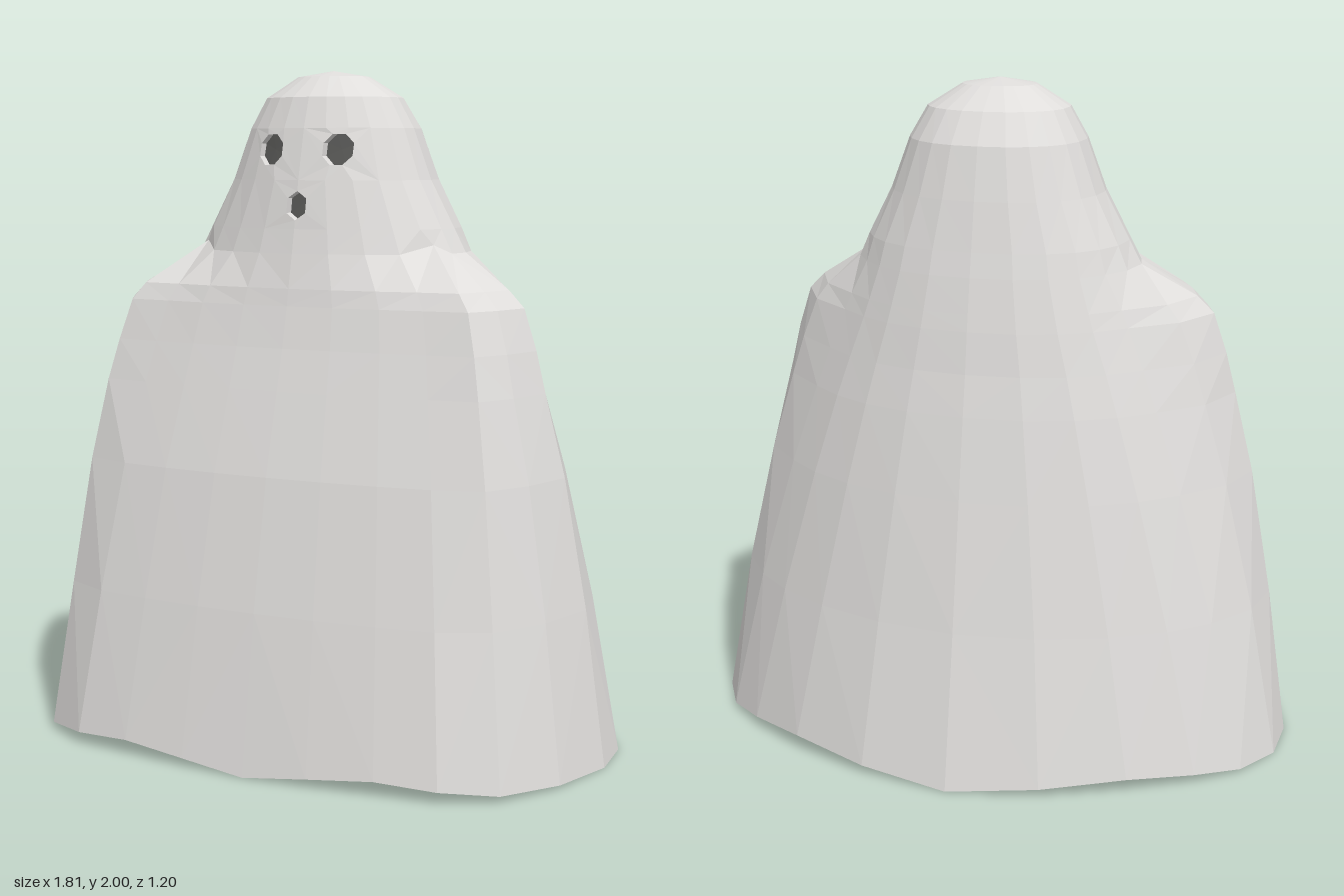
import * as THREE from 'three';

const COLS = 24, HALF = 12, THICK = 0.055, NECK = 7;
// Hem outline of one half, from front centre round to back centre: x, z, lift
const HEM = [
  [0, 0.6, 0], [0.2, 0.595, 0.025], [0.4, 0.58, 0.045], [0.58, 0.555, 0.035],
  [0.73, 0.47, 0.02], [0.84, 0.29, 0.01], [0.9, 0.07, 0], [0.89, -0.1, 0],
  [0.81, -0.25, 0.01], [0.69, -0.36, 0.03], [0.51, -0.47, 0.045], [0.27, -0.56, 0.025], [0, -0.6, 0],
];
// Rings: height, half width, half width behind the shoulders, front depth, back depth, roundness
const RINGS = [
  [0, 0.903, 0.903, 0.6, 0.6, 0],
  [0.46, 0.838, 0.785, 0.522, 0.51, 0],
  [0.84, 0.77, 0.66, 0.443, 0.44, 0],
  [1.08, 0.71, 0.57, 0.375, 0.395, 0],
  [1.2, 0.68, 0.52, 0.34, 0.37, 0],
  [1.32, 0.64, 0.465, 0.31, 0.35, 0.05],
  [1.37, 0.59, 0.445, 0.3, 0.34, 0.2],
  [1.47, 0.43, 0.405, 0.277, 0.32, 1],
  [1.54, 0.393, 0.385, 0.262, 0.304, 1],
  [1.68, 0.318, 0.318, 0.235, 0.274, 1],
  [1.83, 0.262, 0.262, 0.198, 0.238, 1],
  [1.92, 0.21, 0.21, 0.165, 0.18, 1],
  [1.982, 0.11, 0.11, 0.09, 0.09, 1],
];
// Holes: the ring and columns of the cell they are cut from, centre, radii, sides
const HOLES = [
  { name: 'leftEye', ring: 9, from: 0, to: 3, x: 0.108, y: 1.768, rx: 0.046, ry: 0.048, sides: 8 },
  { name: 'rightEye', ring: 9, from: -3, to: 0, x: -0.108, y: 1.768, rx: 0.046, ry: 0.048, sides: 8 },
  { name: 'mouth', ring: 8, from: -1, to: 1, x: 0, y: 1.607, rx: 0.035, ry: 0.042, sides: 6 },
];
const lerp = THREE.MathUtils.lerp;

// Point of the sheet on ring i, column j, moved in by the given thickness
function sheetPoint(i, j, inset = 0) {
  j = (j + COLS) % COLS;
  const k = j <= HALF ? j : COLS - j, side = j <= HALF ? 1 : -1;
  const [y, w, wBack, front, back, ringRound] = RINGS[i];
  const [hx, hz, lift] = HEM[k], a = (k * Math.PI) / HALF;
  const behind = THREE.MathUtils.smoothstep(k, 5.8, 8.6);
  const round = Math.max(ringRound, behind * Math.min(1, y / 1.47));
  const power = k > 6 ? 0.88 : 1; // the back is a little squarer than an ellipse
  const c = Math.cos(a);
  const nx = lerp(hx / 0.9, Math.pow(Math.abs(Math.sin(a)), power), round);
  const nz = lerp(hz / 0.6, Math.sign(c) * Math.pow(Math.abs(c), power), round);
  const p = new THREE.Vector3(
    nx * (lerp(w, wBack, behind) - inset),
    y + (i === 0 ? lift : 0) - (i > 10 ? inset : 0),
    nz * ((nz > 0 ? front : back) - inset));
  // Arms push the cloth forward below the neck
  if (i < NECK && k >= 4 && k <= 6) {
    const push = Math.min(1, y / 1.08) ** 2;
    p.z += 0.035 * push;
    if (k === 4) p.x += 0.025 * push;
  }
  // Fold where the shoulder meets the neck
  if (i === NECK && k === 4) p.add(new THREE.Vector3(0, 0.025, -0.03));
  p.x *= side;
  return p;
}

// Depth of the face surface at x, y above ring i
function faceZ(i, x, y) {
  const a = RINGS[i], b = RINGS[i + 1], t = (y - a[0]) / (b[0] - a[0]);
  return lerp(a[3], b[3], t) * Math.sqrt(1 - (x / lerp(a[1], b[1], t)) ** 2);
}

function facets(points) {
  const g = new THREE.BufferGeometry().setFromPoints(points);
  g.computeVertexNormals();
  return g;
}

// Two triangles split along the shorter diagonal
function quad(out, a, b, c, d) {
  if (a.distanceTo(c) < b.distanceTo(d)) out.push(a, b, c, a, c, d);
  else out.push(a, b, d, b, c, d);
}

// One layer of cloth; the outer one leaves out the cells with holes
function shell(inset, inward) {
  const out = [], top = RINGS.length - 1;
  const apex = new THREE.Vector3(0, 2 - inset, 0);
  for (let j = -HALF; j < HALF; j++) {
    for (let i = 0; i < top; i++) {
      if (!inward && HOLES.some((h) => h.ring === i && j >= h.from && j < h.to)) continue;
      const p = [[i, j], [i, j + 1], [i + 1, j + 1], [i + 1, j]].map(([r, c]) => sheetPoint(r, c, inset));
      if (inward) p.reverse();
      quad(out, ...p);
    }
    const p = [sheetPoint(top, j, inset), sheetPoint(top, j + 1, inset), apex];
    out.push(...(inward ? p.reverse() : p));
  }
  return facets(out);
}

// Points of a hole's edge on the face, counter-clockwise
function holeOutline({ ring, x, y, rx, ry, sides }) {
  return Array.from({ length: sides }, (_, n) => {
    const a = ((n + 0.5) / sides) * Math.PI * 2;
    const px = x + rx * Math.cos(a), py = y + ry * Math.sin(a);
    return new THREE.Vector3(px, py, faceZ(ring, px, py));
  });
}

// Cloth between a cell's border and its hole, stitched in order of angle
function cellAround(hole, outline) {
  const border = [];
  for (let j = hole.from; j <= hole.to; j++) border.push(sheetPoint(hole.ring, j));
  for (let j = hole.to; j >= hole.from; j--) border.push(sheetPoint(hole.ring + 1, j));
  const sorted = (points) => points.map((p) => {
    const a = Math.atan2(p.y - hole.y, p.x - hole.x);
    return { p, a: a < 0 ? a + Math.PI * 2 : a };
  }).sort((s, t) => s.a - t.a);
  const outer = sorted(border), inner = sorted(outline), out = [];
  const at = (list, n) => list[n % list.length].p;
  const angle = (list, n) => list[n % list.length].a + (n >= list.length ? Math.PI * 2 : 0);
  let o = 0, n = 0;
  while (o < outer.length || n < inner.length) {
    const stepOuter = n >= inner.length || (o < outer.length && angle(outer, o + 1) < angle(inner, n + 1));
    if (stepOuter) out.push(at(outer, o), at(outer, ++o), at(inner, n));
    else out.push(at(inner, n), at(outer, o), at(inner, ++n));
  }
  return facets(out);
}

export function createModel() {
  const cloth = new THREE.MeshStandardMaterial({ color: 0xdfdddb });
  const dark = new THREE.MeshStandardMaterial({ color: 0x565654 });
  cloth.name = 'cloth';
  dark.name = 'darkOpening';
  const model = new THREE.Group();
  model.name = 'sheetGhost';
  const add = (name, geometry, material) => {
    const m = new THREE.Mesh(geometry, material);
    m.name = name;
    model.add(m);
  };

  // Cloth layers and the hem joining them
  add('outerSheet', shell(0, false), cloth);
  add('innerSheet', shell(THICK, true), cloth);
  const hem = [];
  for (let j = 0; j < COLS; j++)
    quad(hem, sheetPoint(0, j, THICK), sheetPoint(0, j + 1, THICK), sheetPoint(0, j + 1), sheetPoint(0, j));
  add('hem', facets(hem), cloth);

  // Eyes and mouth: surrounding cloth, cut edge and dark floor
  for (const hole of HOLES) {
    const front = holeOutline(hole);
    const back = front.map((p) => p.clone().setZ(p.z - 0.03));
    const centre = back.reduce((s, p) => s.add(p), new THREE.Vector3()).divideScalar(back.length);
    const wall = [], floor = [];
    front.forEach((p, n) => {
      const m = (n + 1) % front.length;
      quad(wall, p, front[m], back[m], back[n]);
      floor.push(centre, back[n], back[m]);
    });
    add(hole.name + 'Surround', cellAround(hole, front), cloth);
    add(hole.name + 'Edge', facets(wall), cloth);
    add(hole.name, facets(floor), dark);
  }
  return model;
}
